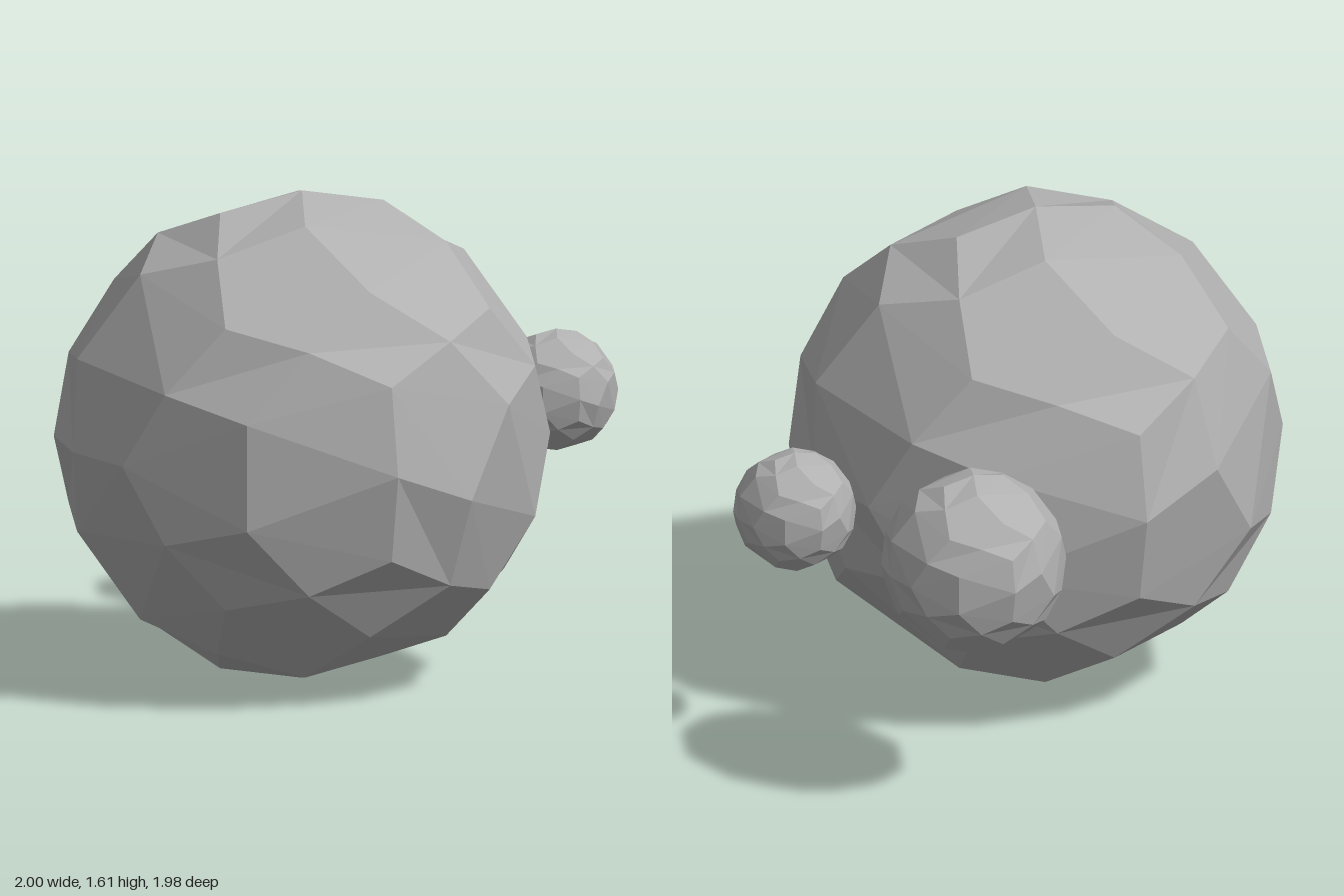
import * as THREE from 'three';

export function createModel() {
  const model = new THREE.Group();
  model.name = 'boulderCluster';

  const stone = new THREE.MeshStandardMaterial({ color: 0xb0b0b0, flatShading: true });
  stone.name = 'grey stone';

  // One faceted boulder: a dodecahedron subdivided once
  const addBoulder = (name, radius, x, y, z) => {
    const mesh = new THREE.Mesh(new THREE.DodecahedronGeometry(radius, 1), stone);
    mesh.name = name;
    mesh.position.set(x, y, z);
    model.add(mesh);
  };

  addBoulder('largeBoulder', 0.803, -0.197, 0.803, 0.188);
  addBoulder('mediumBoulder', 0.301, 0.469, 0.83, -0.69);
  addBoulder('smallBoulder', 0.2, 0.8, 0.83, -0.06);

  return model;
}
